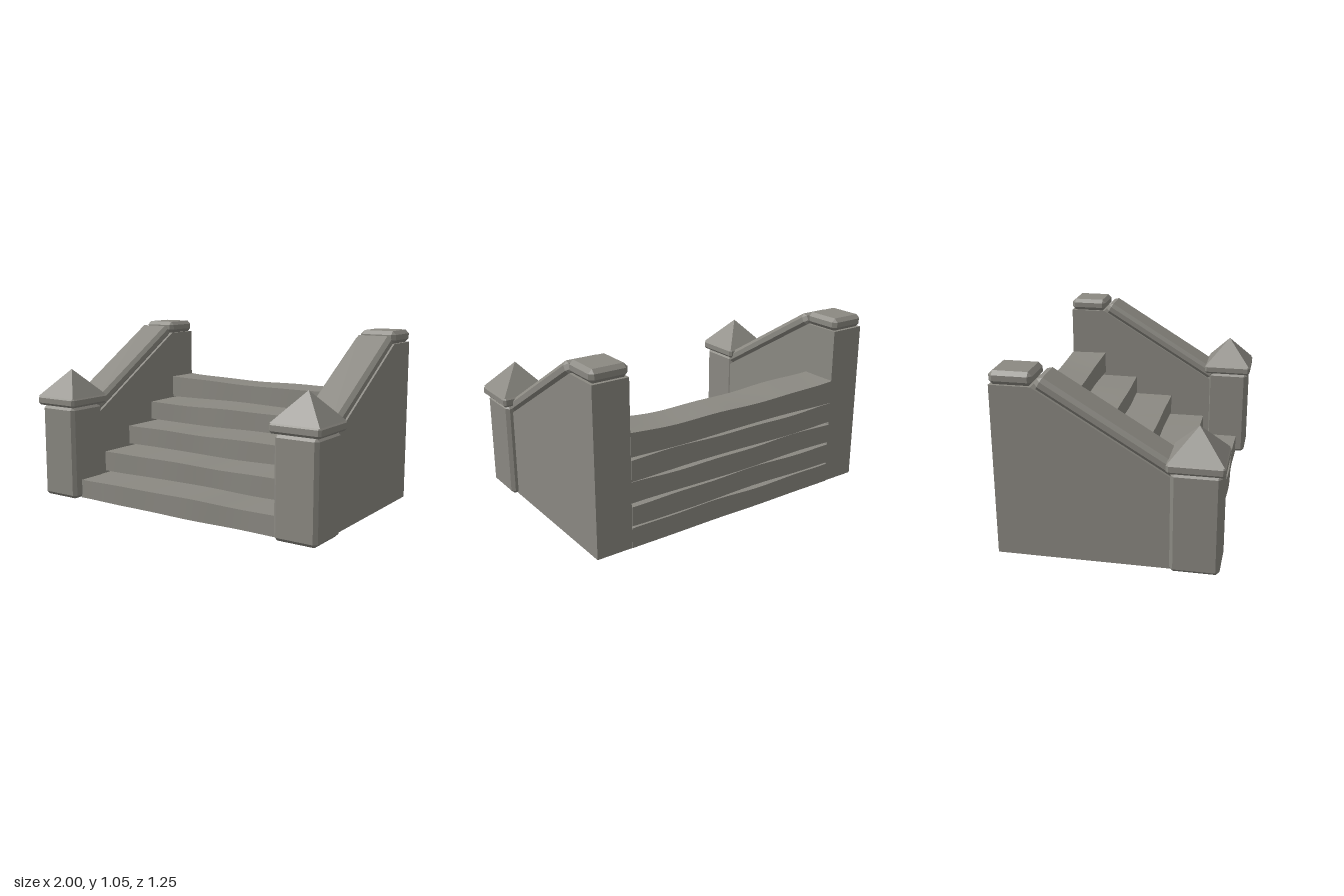
import * as THREE from 'three';
import { ConvexGeometry } from 'three/addons/geometries/ConvexGeometry.js';

const stone = new THREE.MeshStandardMaterial({ color: 0x8b8982 });
stone.name = 'warm grey stone';
stone.side = THREE.DoubleSide;

function add(parent, name, geometry, x = 0, y = 0, z = 0) {
  const mesh = new THREE.Mesh(geometry, stone);
  mesh.name = name;
  mesh.position.set(x, y, z);
  parent.add(mesh);
  return mesh;
}

// Box with every edge cut at 45 degrees
function chamferBox(w, h, d, c) {
  const points = [];
  for (const sx of [-1, 1]) for (const sy of [-1, 1]) for (const sz of [-1, 1]) {
    const x = w / 2, y = h / 2, z = d / 2;
    points.push(
      new THREE.Vector3(sx * x, sy * (y - c), sz * (z - c)),
      new THREE.Vector3(sx * (x - c), sy * y, sz * (z - c)),
      new THREE.Vector3(sx * (x - c), sy * (y - c), sz * z));
  }
  return new ConvexGeometry(points);
}

// Full-depth worn slab, slightly wavy on its front, back, top and bottom
function stepSlab(i) {
  const bottom = i * 0.133, top = bottom + 0.119;
  const front = 0.552 - i * 0.235, back = -0.618;
  const g = new THREE.BoxGeometry(1.44, 1, 1, 24, 1, 6);
  const p = g.attributes.position;
  for (let k = 0; k < p.count; k++) {
    const x = p.getX(k), v = p.getY(k) + 0.5, w = p.getZ(k) + 0.5;
    const wave = Math.sin(x * 5 + i * 1.9 + w * 1.5) * 0.6 + Math.sin(x * 11 + i * 3.1) * 0.4;
    const sag = i === 4 ? 0.012 * (x * x / 0.26 - 1) : 0;
    const y = v > 0.5 ? top + 0.006 * wave + sag + (i === 4 ? 0.011 : 0)
      : bottom + (i ? 0.004 * Math.sin(x * 6 + i * 2.3) : 0);
    const z = back + (front - back) * w + (0.003 + 0.005 * w) * wave;
    p.setXYZ(k, x, y, z);
  }
  // The lowest slab is hollow underneath
  if (i === 0) {
    const cut = g.groups[3], index = Array.from(g.index.array);
    index.splice(cut.start, cut.count);
    g.setIndex(index);
  }
  g.clearGroups();
  g.computeVertexNormals();
  return g;
}

// Side wall outline, drawn with -z to the right, then turned to run along x
function wallGeometry(width) {
  const outline = [[-0.36, 0], [0.615, 0], [0.615, 0.975], [0.39, 0.975], [-0.36, 0.52]];
  const shape = new THREE.Shape(outline.map(([s, y]) => new THREE.Vector2(s, y)));
  const g = new THREE.ExtrudeGeometry(shape, { depth: width, bevelEnabled: false });
  g.translate(0, 0, -width / 2);
  g.rotateY(Math.PI / 2);
  return g;
}

export function createModel() {
  const model = new THREE.Group();
  model.name = 'stoneStairs';

  // Steps
  const steps = new THREE.Group();
  steps.name = 'steps';
  for (let i = 0; i < 5; i++) add(steps, `step${i + 1}`, stepSlab(i));
  model.add(steps);

  // Pyramid cap: four flat sides, squared to the axes
  const pyramid = new THREE.ConeGeometry(0.147 * Math.SQRT2, 0.165, 4, 1).rotateY(Math.PI / 4).toNonIndexed();
  pyramid.computeVertexNormals();

  // Balustrades on both sides
  for (const [side, s] of [['left', 1], ['right', -1]]) {
    const rail = new THREE.Group();
    rail.name = `${side}Balustrade`;
    const wallX = s * 0.829, postX = s * 0.845;
    add(rail, 'sideWall', wallGeometry(0.218), wallX);
    const coping = add(rail, 'slopedCoping', chamferBox(0.226, 0.075, 0.871, 0.022), wallX, 0.778, 0.007);
    coping.rotation.x = 0.546;
    add(rail, 'backCap', chamferBox(0.226, 0.075, 0.235, 0.022), wallX, 1.0125, -0.4985);
    add(rail, 'frontPost', chamferBox(0.262, 0.575, 0.268, 0.02), postX, 0.2875, 0.475);
    add(rail, 'postCapSlab', chamferBox(0.306, 0.06, 0.306, 0.014), postX, 0.605, 0.474);
    add(rail, 'postCapPyramid', pyramid, postX, 0.7125, 0.474);
    model.add(rail);
  }
  return model;
}
